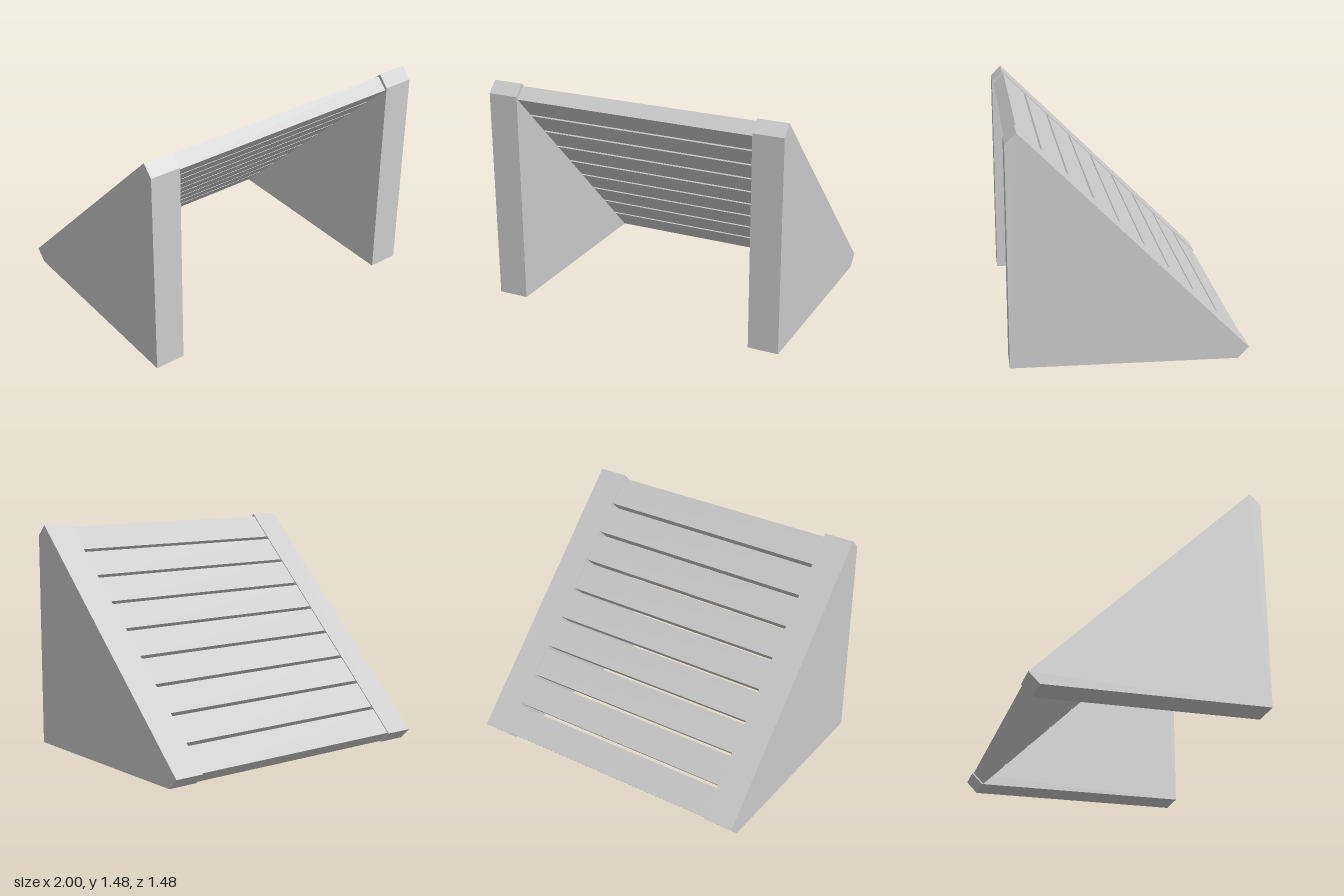
import * as THREE from 'three';

const material = new THREE.MeshStandardMaterial({ color: 0xcccccc, flatShading: true });

// Side wall outline as [z, y]: a right triangle with both sharp tips cut square
const sideOutline = [[0.74, 0.012], [0.74, 1.41], [0.67, 1.48], [-0.74, 0.07], [-0.67, 0]];
const sideThickness = 0.2;

function makeSide(name, x) {
  const shape = new THREE.Shape(sideOutline.map(([z, y]) => new THREE.Vector2(z, y)));
  const geometry = new THREE.ExtrudeGeometry(shape, { depth: sideThickness, bevelEnabled: false });
  geometry.rotateY(-Math.PI / 2);
  geometry.translate(sideThickness / 2, 0, 0);
  const side = new THREE.Mesh(geometry, material);
  side.name = name;
  side.position.x = x;
  return side;
}

export function createModel() {
  const model = new THREE.Group();
  model.name = 'slattedRamp';

  // Two solid side walls
  model.add(makeSide('leftSide', 0.9), makeSide('rightSide', -0.9));

  // Nine slats lying along the 45 degree slope, set slightly below the walls
  const slats = new THREE.Group();
  slats.name = 'slats';
  const run = 0.14;      // slat width measured along z
  const pitch = 0.156;   // spacing along z
  const drop = 0.035;    // half the thickness, as a z and y offset
  const slatGeometry = new THREE.BoxGeometry(1.6, 2 * drop * Math.SQRT2, run * Math.SQRT2);
  for (let i = 0; i < 9; i++) {
    const z = -0.729 + run / 2 + i * pitch;
    const slat = new THREE.Mesh(slatGeometry, material);
    slat.name = `slat${i + 1}`;
    slat.rotation.x = -Math.PI / 4;
    slat.position.set(0, z + 0.802 - drop, z + drop);
    slats.add(slat);
  }
  model.add(slats);

  return model;
}
